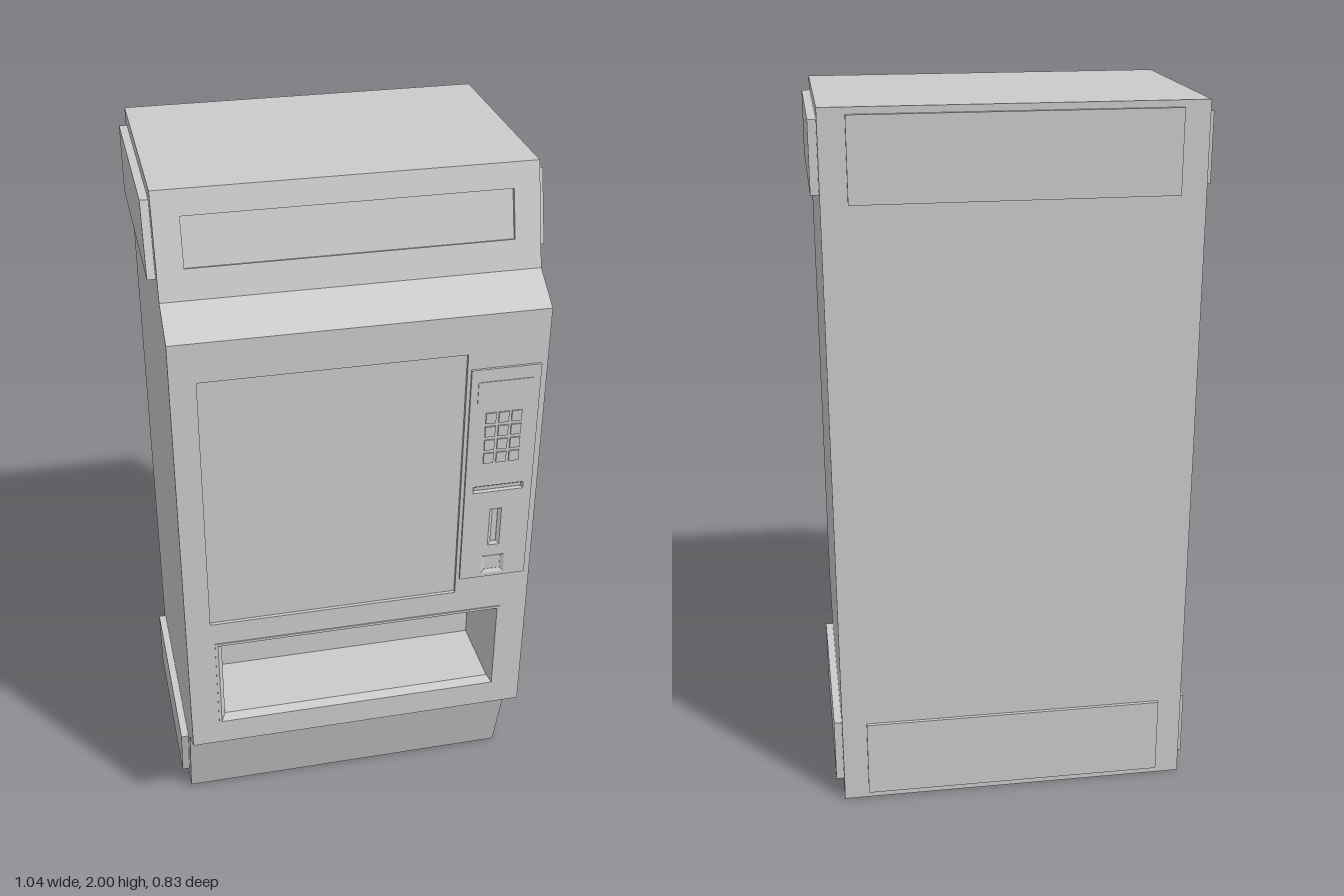
import * as THREE from 'three';

const material = new THREE.MeshStandardMaterial({ color: 0xcccccc, flatShading: true, side: THREE.DoubleSide });

// Corner list of a rectangle
const rect = (x0, y0, x1, y1) => [[x0, y0], [x1, y0], [x1, y1], [x0, y1]];

function addMesh(parent, name, geometry) {
  const mesh = new THREE.Mesh(geometry, material);
  mesh.name = name;
  parent.add(mesh);
  return mesh;
}

// Skin through successive [outline, height] steps, closed by a flat face on the last one
function steppedSkin(steps) {
  const pos = [];
  const put = (...points) => points.forEach((p) => pos.push(...p));
  const loops = steps.map(([outline, z]) => outline.map(([x, y]) => [x, y, z]));
  for (let s = 0; s + 1 < loops.length; s++) {
    const a = loops[s], b = loops[s + 1];
    for (let i = 0; i < a.length; i++) {
      const j = (i + 1) % a.length;
      put(a[i], a[j], b[j], a[i], b[j], b[i]);
    }
  }
  const cap = loops[loops.length - 1];
  for (let i = 1; i + 1 < cap.length; i++) put(cap[0], cap[i], cap[i + 1]);
  const geometry = new THREE.BufferGeometry();
  geometry.setAttribute('position', new THREE.Float32BufferAttribute(pos, 3));
  geometry.computeVertexNormals();
  return geometry;
}

// Flat sheet with pressed-in or pressed-out features; local z points outward
function sheet(name, outline, features = {}) {
  const group = new THREE.Group();
  group.name = name;
  const toVectors = (points) => points.map(([x, y]) => new THREE.Vector2(x, y));
  const shape = new THREE.Shape(toVectors(outline));
  for (const [part, steps] of Object.entries(features)) {
    shape.holes.push(new THREE.Path(toVectors(steps[0][0])));
    addMesh(group, part, steppedSkin(steps));
  }
  addMesh(group, name + 'Face', new THREE.ShapeGeometry(shape));
  return group;
}

export function createModel() {
  const model = new THREE.Group();
  model.name = 'vendingMachine';
  const back = -0.405, front = 0.403;

  // Side profile as [z, y]
  const profile = [[back, 0], [0.222, 0], [0.297, 0.273], [front, 0.337],
    [front, 1.667], [0.297, 1.733], [0.222, 2], [back, 2]];

  // Side walls with upper and lower pressed-out panels
  const upper = [[-0.36, 1.775], [0.245, 1.775], [0.19, 1.965], [-0.36, 1.965]];
  const lower = upper.map(([z, y]) => [z, 2.005 - y]);
  for (const side of [1, -1]) {
    const flip = (points) => points.map(([z, y]) => [-side * z, y]);
    const wall = sheet(side > 0 ? 'leftWall' : 'rightWall', flip(profile), {
      upperSidePanel: [[flip(upper), 0], [flip(upper), 0.022]],
      lowerSidePanel: [[flip(lower), 0], [flip(lower), 0.022]],
    });
    wall.position.x = side * 0.5;
    wall.rotation.y = side * Math.PI / 2;
    model.add(wall);
  }

  // Back wall with two thin panels
  const backHigh = rect(-0.43, 1.757, 0.43, 1.982);
  const backLow = rect(-0.43, 0.02, 0.43, 0.247);
  const backWall = sheet('backWall', rect(-0.5, 0, 0.5, 2), {
    upperBackPanel: [[backHigh, 0], [backHigh, 0.01]],
    lowerBackPanel: [[backLow, 0], [backLow, 0.01]],
  });
  backWall.position.z = back;
  backWall.rotation.y = Math.PI;
  model.add(backWall);

  // Sloped strips and roof; the sign strip has a shallow recess
  const sign = rect(-0.43, 0.08, 0.43, 0.21);
  const strips = ['skirt', 'lowerSlope', null, 'upperSlope', 'signStrip', 'roof'];
  strips.forEach((name, i) => {
    if (!name) return;
    const [z0, y0] = profile[i + 1], [z1, y1] = profile[i + 2];
    const strip = sheet(name, rect(-0.5, 0, 0.5, Math.hypot(z1 - z0, y1 - y0)),
      name === 'signStrip' ? { signRecess: [[sign, 0], [sign, -0.01]] } : {});
    strip.position.set(0, y0, z0);
    strip.rotation.x = Math.atan2(z1 - z0, y1 - y0);
    model.add(strip);
  });

  // Front door: recessed window and delivery bin with a slim raised frame
  const glass = rect(-0.43, 0.78, 0.28, 1.555);
  const frame = rect(-0.42, 0.41, 0.42, 0.71);
  const lip = rect(-0.4, 0.435, 0.4, 0.69);
  const door = sheet('frontDoor', rect(-0.5, 0.337, 0.5, 1.667), {
    window: [[glass, 0], [glass, -0.01]],
    deliveryBin: [[frame, 0], [frame, 0.003], [rect(-0.412, 0.418, 0.412, 0.702), 0.003],
      [lip, -0.015], [lip, -0.23]],
  });
  door.position.z = front;
  model.add(door);

  // Control panel: raised plate with bevelled slots
  const slot = (x0, y0, x1, y1, bevel, depth) => {
    const inner = rect(x0 + bevel, y0 + bevel, x1 - bevel, y1 - bevel);
    return [[rect(x0, y0, x1, y1), 0], [inner, -0.006], [inner, -depth]];
  };
  const plate = rect(0.29, 0.83, 0.482, 1.51);
  const controls = sheet('controlPanel', plate, {
    billSlot: slot(0.313, 1.122, 0.457, 1.143, 0.005, 0.02),
    coinSlot: slot(0.366, 0.94, 0.4, 1.065, 0.009, 0.02),
    coinReturn: slot(0.352, 0.842, 0.418, 0.905, 0.01, 0.04),
  });
  controls.position.z = front + 0.007;
  model.add(controls);
  const rim = [];
  plate.forEach(([x, y], i) => {
    const [x2, y2] = plate[(i + 1) % 4];
    rim.push(x, y, -0.007, x2, y2, -0.007, x2, y2, 0, x, y, -0.007, x2, y2, 0, x, y, 0);
  });
  const rimGeometry = new THREE.BufferGeometry();
  rimGeometry.setAttribute('position', new THREE.Float32BufferAttribute(rim, 3));
  rimGeometry.computeVertexNormals();
  addMesh(controls, 'controlPanelRim', rimGeometry);

  // Display and keypad
  addMesh(controls, 'display', new THREE.BoxGeometry(0.15, 0.065, 0.002)).position.set(0.385, 1.44, 0.001);
  for (let row = 0; row < 4; row++) {
    for (let col = 0; col < 3; col++) {
      addMesh(controls, 'keypadButton', new THREE.BoxGeometry(0.028, 0.032, 0.004))
        .position.set(0.35 + col * 0.036, 1.235 + row * 0.042, 0.002);
    }
  }
  return model;
}
